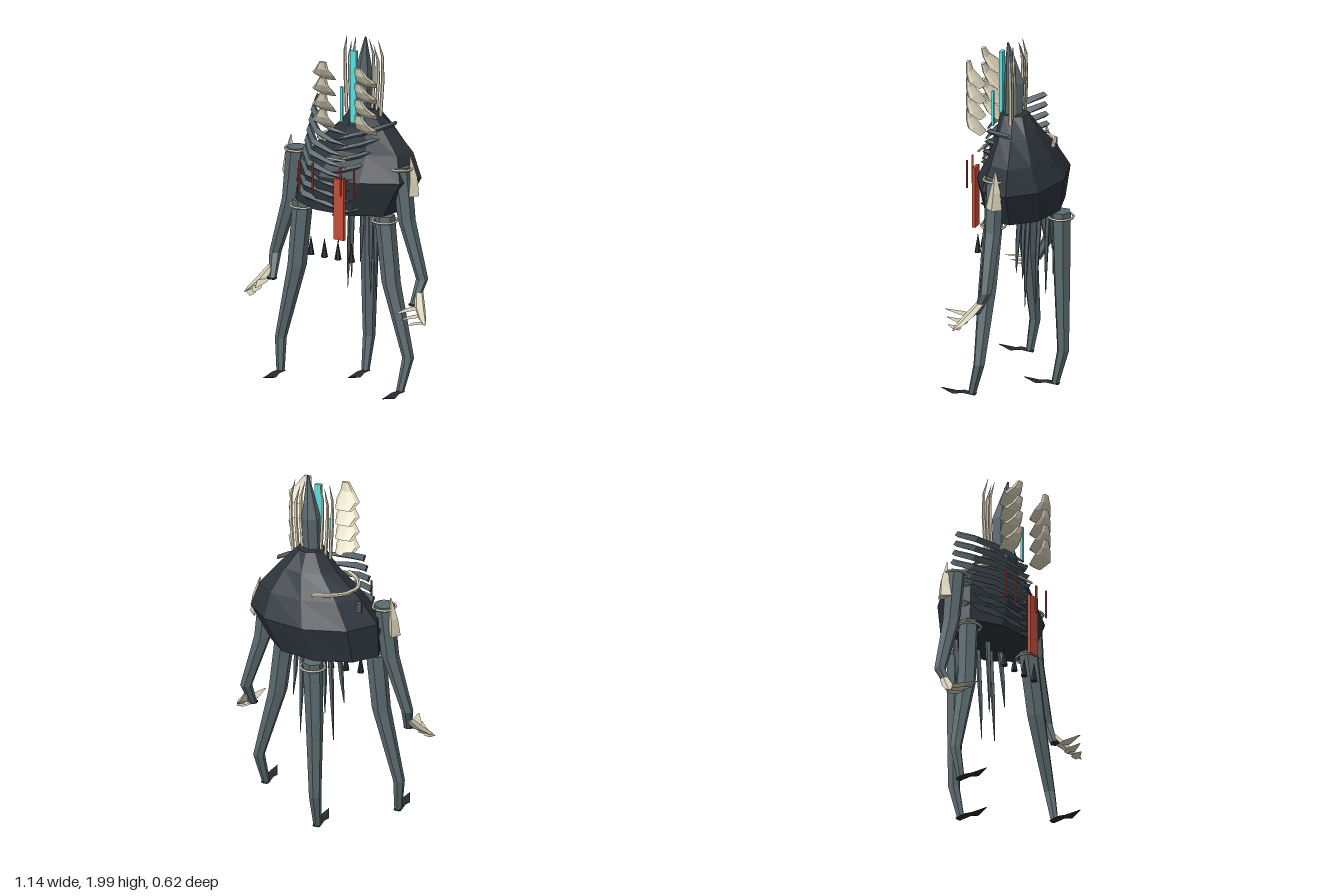
import * as THREE from 'three';

const mat = (name, color) => {
  const m = new THREE.MeshStandardMaterial({ color, flatShading: true, side: THREE.DoubleSide });
  m.name = name;
  return m;
};

// Closed skin over rings [x, y, z, r1, r2] standing across one axis (0 = x, 1 = y, 2 = z).
// r1 and r2 run along the next two axes in cyclic order.
function loft(rings, axis = 1, sides = 6, phase = 0) {
  const b = (axis + 1) % 3, c = (axis + 2) % 3, pos = [], idx = [];
  const flip = rings[rings.length - 1][axis] < rings[0][axis];
  const tri = (p, q, r) => (flip ? idx.push(p, r, q) : idx.push(p, q, r));
  rings.forEach(([x, y, z, r1, r2 = r1]) => {
    for (let j = 0; j < sides; j++) {
      const t = ((j + phase) / sides) * Math.PI * 2, p = [x, y, z];
      p[b] += r1 * Math.cos(t);
      p[c] += r2 * Math.sin(t);
      pos.push(...p);
    }
  });
  const n = rings.length, first = n * sides, last = first + 1;
  pos.push(...rings[0].slice(0, 3), ...rings[n - 1].slice(0, 3));
  for (let j = 0; j < sides; j++) {
    const k = (j + 1) % sides;
    for (let i = 0; i < n - 1; i++) {
      const o = i * sides, u = o + sides;
      tri(o + j, o + k, u + j);
      tri(o + k, u + k, u + j);
    }
    tri(first, k, j);
    tri(last, (n - 1) * sides + j, (n - 1) * sides + k);
  }
  const g = new THREE.BufferGeometry();
  g.setAttribute('position', new THREE.Float32BufferAttribute(pos, 3));
  g.setIndex(idx);
  const flat = g.toNonIndexed();
  flat.computeVertexNormals();
  return flat;
}

export function createModel() {
  const root = new THREE.Group();
  const shell = mat('shellBlack', 0x2d343b);
  const slate = mat('limbSlate', 0x5c6b6f);
  const ribMat = mat('ribSlate', 0x56646b);
  const bone = mat('bone', 0xd6ceb6);
  const dark = mat('clawBlack', 0x252a30);
  const red = mat('bannerRed', 0xc24f3a);
  const cyan = mat('glowCyan', 0x58e2e2);

  const add = (name, geo, m, x = 0, y = 0, z = 0) => {
    const mesh = new THREE.Mesh(geo, m);
    mesh.name = name;
    mesh.position.set(x, y, z);
    root.add(mesh);
    return mesh;
  };
  const box = (name, m, w, h, d, x, y, z) => add(name, new THREE.BoxGeometry(w, h, d), m, x, y, z);
  const ring = (name, r, x, y, z) =>
    add(name, new THREE.TorusGeometry(r, 0.007, 5, 16), bone, x, y, z).rotateX(Math.PI / 2);
  const mid = 0.075; // axis of the head and the ornaments around it

  // Hunched faceted body
  add('body', loft([
    [-0.015, 1.02, -0.015, 0.205, 0.315], [0.04, 1.22, -0.03, 0.235, 0.37],
    [0.07, 1.36, -0.035, 0.165, 0.29], [0.09, 1.49, -0.02, 0.115, 0.16],
    [0.085, 1.59, 0, 0.078, 0.07]], 1, 9, 0.5), shell);

  // Tall pointed head
  add('head', loft([
    [0.08, 1.55, 0.015, 0.055, 0.05], [0.085, 1.77, 0.005, 0.058, 0.05],
    [0.1, 1.9, 0.02, 0.03, 0.025], [0.112, 2, 0.03, 0.005]], 1, 6), slate);

  // Thin crown horns
  for (const s of [-1, 1]) for (let i = 0; i < 3; i++) {
    const o = 0.05 + i * 0.028, top = 1.98 - (i % 2) * 0.03;
    add('crownHorn', loft([
      [mid + s * o, 1.54, -0.01, 0.01], [mid + s * (o + 0.012), 1.75, -0.015, 0.01],
      [mid + s * (o + 0.012), top - 0.09, -0.012, 0.008],
      [mid + s * (o - 0.008), top, 0, 0.001]], 1, 5), bone);
  }

  // Stacked flared bone plates either side of the head
  for (const s of [-1, 1]) for (let i = 0; i < 4; i++) {
    const y = 1.89 - i * 0.09;
    add('spinePlate', loft([
      [mid + s * 0.11, y, 0.232, 0.01, 0.022], [mid + s * 0.123, y - 0.045, 0.22, 0.015, 0.04],
      [mid + s * 0.137, y - 0.085, 0.188, 0.024, 0.067],
      [mid + s * 0.128, y - 0.125, 0.142, 0.01, 0.048]], 1, 8), bone);
  }

  // Glowing bars and hanging red strips
  box('glowBar', cyan, 0.038, 0.41, 0.02, 0.07, 1.725, 0.083);
  for (const x of [0.008, 0.142]) box('smallGlowBar', cyan, 0.015, 0.2, 0.012, x, 1.62, 0.105);
  box('redBanner', red, 0.065, 0.345, 0.018, 0.07, 1.07, 0.235);
  for (const x of [-0.175, -0.09, 0.085, 0.17])
    add('redRod', new THREE.CylinderGeometry(0.006, 0.006, 0.16, 6), red, x, 1.23, 0.247);

  // Swept ribs wrapping the chest, longer on the right
  for (let i = 0; i < 8; i++) {
    const y = 1.585 - i * 0.06, f = Math.min(0.192, 0.16 + i * 0.01), o = i * 0.013;
    add('rightRib', loft([
      [-0.235 - o, y, -0.04, 0.018, 0.02], [-0.205 - o, y - 0.04, 0.05, 0.02, 0.03],
      [-0.12 - o * 0.9, y - 0.075, f - 0.04, 0.02, 0.03], [-0.02, y - 0.1, f - 0.005, 0.014, 0.018],
      [0.08, y - 0.11, f, 0.004, 0.006]], 0, 4), ribMat);
    add('leftRib', loft([
      [0.0, y - 0.15, f, 0.004, 0.006], [0.06, y - 0.13, f - 0.005, 0.013, 0.014],
      [0.14, y - 0.105, f - 0.04, 0.015, 0.028], [0.22, y - 0.08, 0.04, 0.015, 0.03],
      [0.26, y - 0.07, -0.04, 0.012, 0.016]], 0, 4), ribMat);
  }
  box('chestClasp', bone, 0.12, 0.01, 0.008, 0.035, 1.34, 0.21);

  // Bone arc across the back, and a short stub
  const arc = new THREE.CatmullRomCurve3([
    [0.01, 1.4, -0.19], [-0.09, 1.4, -0.16], [-0.155, 1.39, -0.09], [-0.185, 1.39, 0.0],
    [-0.15, 1.4, 0.08], [-0.09, 1.41, 0.12]].map((p) => new THREE.Vector3(...p)));
  add('backArc', new THREE.TubeGeometry(arc, 20, 0.012, 6), bone);
  add('backStub', new THREE.CylinderGeometry(0.016, 0.018, 0.05, 6), slate, -0.23, 1.325, -0.105);

  // Three legs: right, left and rear, each with a collar and a blade foot
  const legs = [
    ['rightLeg', [[-0.265, 1.02, 0.06, 0.056], [-0.295, 0.65, 0.07, 0.052], [-0.395, 0.22, 0.075, 0.032], [-0.382, 0.035, 0.1, 0.022]]],
    ['leftLeg', [[0.25, 1.02, 0.06, 0.056], [0.3, 0.65, 0.075, 0.052], [0.41, 0.24, 0.08, 0.032], [0.388, 0.055, 0.13, 0.022]]],
    ['rearLeg', [[-0.01, 1.02, -0.23, 0.056], [-0.02, 0.65, -0.23, 0.048], [-0.025, 0.21, -0.235, 0.034], [-0.022, 0.015, -0.19, 0.022]]],
  ];
  for (const [name, path] of legs) {
    add(name, loft(path, 1, 6), slate);
    const [tx, , tz] = path[0], [x, y, z] = path[3];
    ring('legCollar', 0.068, tx, 0.99, tz);
    add('foot', loft([
      [x, y, z - 0.02, 0.022, 0.006], [x, y + 0.006, z + 0.05, 0.024, 0.006],
      [x, y - 0.004, z + 0.1, 0.03, 0.005], [x, y + 0.012, z + 0.18, 0.002]], 2, 6), dark);
  }

  // Arms with collars, shoulder spikes and bone hands
  for (const s of [-1, 1]) {
    const top = s < 0 ? -0.33 : 0.33;
    add('arm', loft([
      [top, 1.3, 0.02, 0.055], [s * 0.365, 1.0, 0.02, 0.048],
      [s * 0.462, 0.68, 0.02, 0.033], [s * 0.445, 0.55, 0.08, 0.022]], 1, 6), slate);
    ring('armCollar', 0.062, top, 1.29, 0.02);
    add('shoulderSpike', loft([
      [s * 0.395, 1.14, 0, 0.046, 0.036], [s * 0.39, 1.24, -0.005, 0.03, 0.028],
      [s * 0.375, 1.355, 0, 0.003]], 1, 4), bone);
    add('wristCap', new THREE.CylinderGeometry(0.026, 0.026, 0.008, 6), dark, s * 0.445, 0.55, 0.085);
    // sloping palm with three thin, flat, forward pointing fingers
    add('palm', loft([
      [s * 0.46, 0.615, 0.05, 0.026, 0.024], [s * 0.495, 0.55, 0.1, 0.032, 0.03],
      [s * 0.54, 0.5, 0.145, 0.022, 0.02], [s * 0.567, 0.475, 0.17, 0.004]], 1, 5), bone);
    for (const [rx, y, rz, tx, tz] of [[0.485, 0.545, 0.08, 0.44, 0.265], [0.515, 0.51, 0.11, 0.465, 0.245], [0.54, 0.48, 0.14, 0.5, 0.225]])
      add('finger', loft([
        [s * rx, y, rz, 0.022, 0.002], [s * (rx * 0.6 + tx * 0.4), y, rz * 0.6 + tz * 0.4, 0.03, 0.002],
        [s * tx, y, tz, 0.004, 0.001]], 2, 4), bone);
  }

  // Strands hanging under the belly
  const strands = [
    [-0.15, 0.74, -0.12], [-0.085, 0.5, -0.11], [-0.04, 0.64, -0.17],
    [0, 0.6, -0.01], [0.06, 0.49, -0.11], [0.12, 0.49, -0.07], [0.17, 0.7, -0.04]];
  for (const [x, y, z] of strands)
    add('strand', loft([[x * 0.85, 1.06, z * 1.1 - 0.01, 0.017], [x * 0.93, (y + 1) / 2, z * 1.05, 0.012],
      [x, y, z, 0.002]], 1, 5), ribMat);

  // Floating dark cones in front
  for (const x of [-0.13, -0.045, 0.04, 0.125])
    add('darkCone', new THREE.ConeGeometry(0.019, 0.11, 6), dark, x, 0.825, 0.2);

  return root;
}
